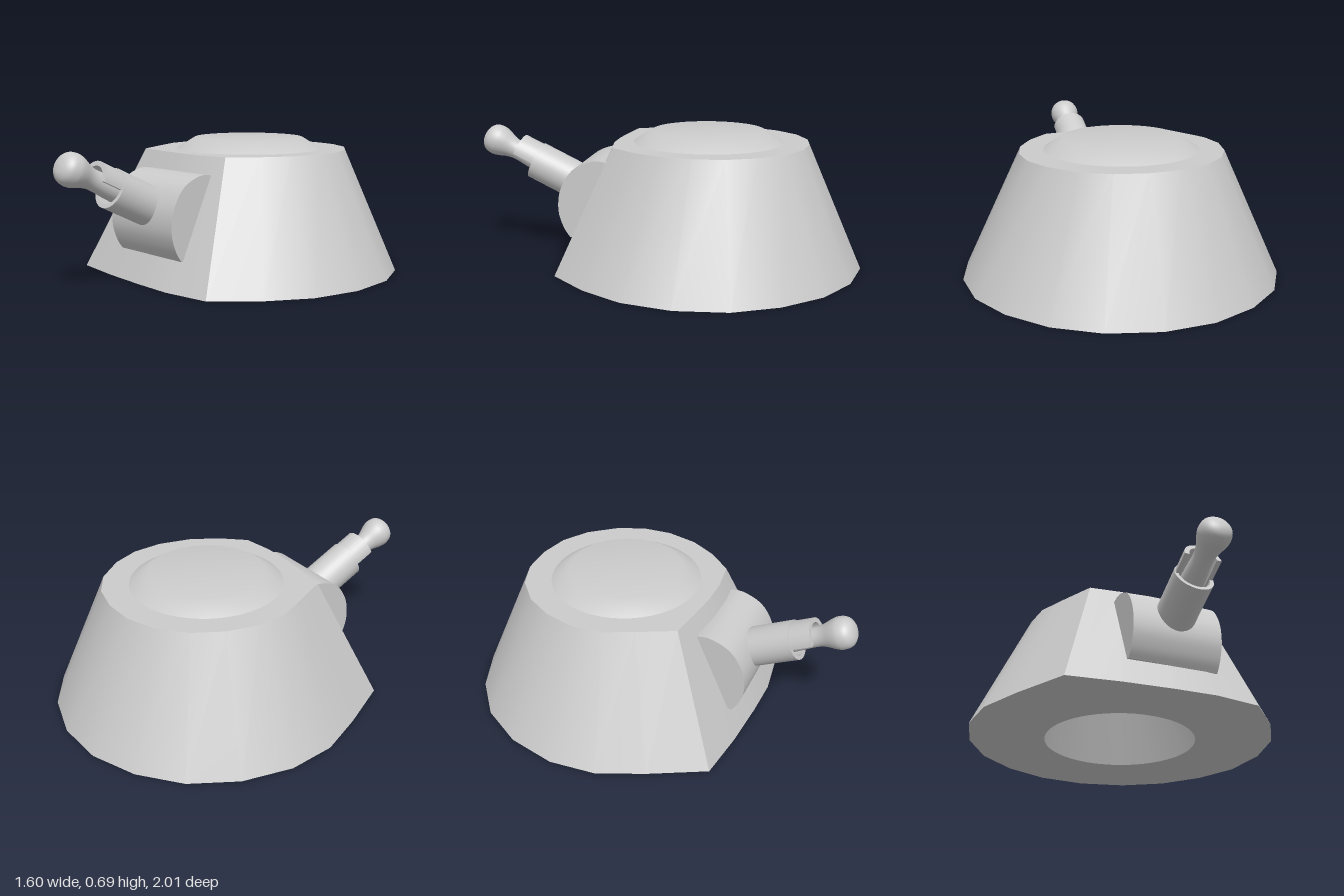
import * as THREE from 'three';
import { toCreasedNormals } from 'three/addons/utils/BufferGeometryUtils.js';

const material = new THREE.MeshStandardMaterial({ color: 0xcccccc, side: THREE.DoubleSide });
const vectors = (pairs) => pairs.map(([a, b]) => new THREE.Vector2(a, b));

// Plan outlines (x, z) of the armour at floor and roof level, point for point
const FLOOR = [
  [0.06, -1], [0.31, -0.94], [0.52, -0.81], [0.68, -0.62], [0.78, -0.4],
  [0.8, -0.14], [0.74, 0.11], [0.61, 0.32], [0.43, 0.51], [0.19, 0.545],
  [-0.02, 0.54], [-0.28, 0.523], [-0.54, 0.49], [-0.68, 0.22], [-0.78, -0.01],
  [-0.8, -0.25], [-0.74, -0.5], [-0.61, -0.72], [-0.42, -0.88], [-0.19, -0.98],
];
const ROOF = [
  [0.04, -0.72], [0.195, -0.69], [0.33, -0.61], [0.44, -0.48], [0.5, -0.34],
  [0.51, -0.185], [0.47, -0.02], [0.39, 0.12], [0.28, 0.24], [0.12, 0.265],
  [-0.02, 0.265], [-0.18, 0.25], [-0.34, 0.23], [-0.43, 0.05], [-0.495, -0.09],
  [-0.51, -0.24], [-0.47, -0.4], [-0.39, -0.54], [-0.27, -0.65], [-0.12, -0.71],
];
const ROOF_Y = 0.63;
const CENTER_Z = -0.205;

function addMesh(parent, name, geometry) {
  const mesh = new THREE.Mesh(geometry, material);
  mesh.name = name;
  parent.add(mesh);
  return mesh;
}

// Sloping skirt between the two outlines, creased at the front corners
function wallGeometry() {
  const n = FLOOR.length;
  const positions = [];
  const index = [];
  FLOOR.forEach(([x, z], i) => {
    positions.push(x, 0, z, ROOF[i][0], ROOF_Y, ROOF[i][1]);
    const a = 2 * i;
    const b = 2 * ((i + 1) % n);
    index.push(a, a + 1, b, b, a + 1, b + 1);
  });
  const geometry = new THREE.BufferGeometry();
  geometry.setAttribute('position', new THREE.Float32BufferAttribute(positions, 3));
  geometry.setIndex(index);
  return toCreasedNormals(geometry, 0.5);
}

export function createModel() {
  const model = new THREE.Group();
  model.name = 'turret';

  addMesh(model, 'armourWall', wallGeometry());

  const roof = new THREE.Shape(vectors(ROOF.map(([x, z]) => [x, -z])));
  addMesh(model, 'roof', new THREE.ShapeGeometry(roof).rotateX(-Math.PI / 2).translate(0, ROOF_Y, 0));

  // Floor with the round turret ring opening
  const floor = new THREE.Shape(vectors(FLOOR));
  floor.holes.push(new THREE.Path().absarc(0, CENTER_Z, 0.4, 0, Math.PI * 2, true));
  addMesh(model, 'floor', new THREE.ShapeGeometry(floor, 32).rotateX(Math.PI / 2));

  // Low dome on the roof
  const crown = new THREE.LatheGeometry(vectors([[0.385, 0], [0.29, 0.058], [0, 0.058]]), 48);
  addMesh(model, 'crown', crown).position.set(0, ROOF_Y, CENTER_Z);

  // Curved gun shield: side profile (z, y) swept across the width
  const arc = new THREE.SplineCurve(vectors([
    [0.275, 0.54], [0.355, 0.547], [0.46, 0.5], [0.525, 0.4], [0.54, 0.29], [0.515, 0.2], [0.48, 0.145],
  ]));
  const profile = new THREE.Shape([...arc.getPoints(24), new THREE.Vector2(0.455, 0.15)]);
  const shield = new THREE.ExtrudeGeometry(profile, { depth: 0.46, bevelEnabled: false });
  shield.rotateY(-Math.PI / 2).translate(0.23, 0, 0);
  addMesh(model, 'gunShield', toCreasedNormals(shield, 0.5));

  // Gun: local +y runs along the raised barrel, local -z is its upper side
  const gun = new THREE.Group();
  gun.name = 'gun';
  gun.position.set(0, 0.5, 0.72);
  gun.rotation.x = THREE.MathUtils.degToRad(64);
  model.add(gun);

  const sleeve = new THREE.LatheGeometry(vectors([
    [0.1, -0.34], [0.1, 0], [0.08, 0], [0.08, -0.1], [0, -0.1],
  ]), 32);
  addMesh(gun, 'sleeve', toCreasedNormals(sleeve, 0.5));

  // Half-round cover over the root of the barrel
  const halfRing = new THREE.Shape();
  halfRing.absarc(0, 0, 0.094, 0, Math.PI, false);
  halfRing.absarc(0, 0, 0.07, Math.PI, 0, true);
  const cover = new THREE.ExtrudeGeometry(halfRing, { depth: 0.16, bevelEnabled: false, curveSegments: 20 });
  cover.rotateX(-Math.PI / 2).translate(0, -0.05, 0);
  addMesh(gun, 'barrelCover', toCreasedNormals(cover, 0.5));

  // Barrel with rounded, swollen muzzle
  const outline = new THREE.SplineCurve(vectors([
    [0.06, -0.1], [0.057, 0], [0.05, 0.1], [0.056, 0.15], [0.074, 0.2],
    [0.081, 0.235], [0.072, 0.275], [0.042, 0.3], [0, 0.307],
  ]));
  addMesh(gun, 'barrel', new THREE.LatheGeometry(outline.getPoints(32), 32));

  return model;
}
